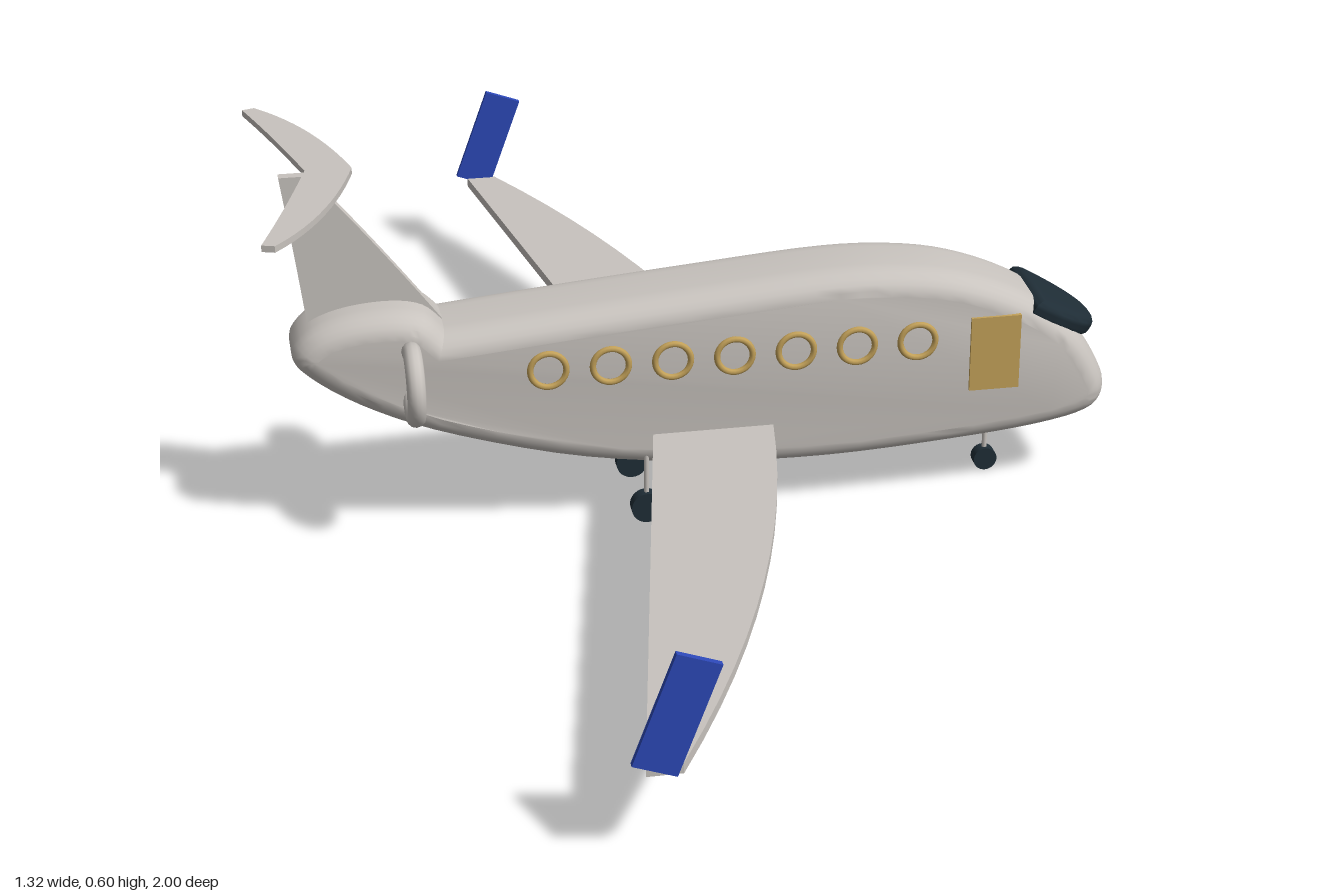
import * as THREE from 'three';
import { toCreasedNormals } from 'three/addons/utils/BufferGeometryUtils.js';

const mat = (name, color, side = THREE.FrontSide) => {
  const m = new THREE.MeshStandardMaterial({ color, side });
  m.name = name;
  return m;
};

export function createModel() {
  const group = new THREE.Group();
  const grey = mat('warm grey', 0xc8c3be);
  const blue = mat('winglet blue', 0x2c48b8);
  const gold = mat('gold', 0xc4a25a);
  const dark = mat('dark slate', 0x1f2d36);
  const teal = mat('teal', 0x4cc4c4);

  const add = (name, geo, material, x = 0, y = 0, z = 0, parent = group) => {
    const mesh = new THREE.Mesh(geo, material);
    mesh.name = name;
    mesh.position.set(x, y, z);
    parent.add(mesh);
    return mesh;
  };
  const v = (pts) => pts.map(([x, y]) => new THREE.Vector2(x, y));
  const extrude = (shape, opts) =>
    toCreasedNormals(new THREE.ExtrudeGeometry(shape, { bevelEnabled: false, curveSegments: 12, ...opts }), 0.6);

  // Fuselage: side profile extruded across z with soft rounded edges
  const profile = new THREE.Shape();
  profile.moveTo(-0.39, 0.345);
  profile.splineThru(v([[-0.2, 0.363], [0.0, 0.38], [0.2, 0.395], [0.32, 0.392], [0.42, 0.374], [0.52, 0.333],
    [0.6, 0.275], [0.645, 0.21], [0.66, 0.16], [0.635, 0.122], [0.55, 0.1], [0.4, 0.085], [0.2, 0.075],
    [0, 0.083], [-0.2, 0.113], [-0.4, 0.172], [-0.52, 0.225], [-0.6, 0.28], [-0.622, 0.318], [-0.595, 0.355],
    [-0.54, 0.376], [-0.47, 0.382], [-0.42, 0.372], [-0.39, 0.345]]));
  const body = new THREE.ExtrudeGeometry(profile, {
    depth: 0.066, curveSegments: 4, bevelEnabled: true, bevelThickness: 0.05,
    bevelSize: 0.035, bevelOffset: -0.035, bevelSegments: 6,
  });
  body.translate(0, 0, -0.033);
  // Narrow the tail a little
  const p = body.attributes.position;
  for (let i = 0; i < p.count; i++) {
    const t = THREE.MathUtils.clamp((-0.39 - p.getX(i)) / 0.23, 0, 1);
    p.setZ(i, p.getZ(i) * (1 - 0.15 * t));
  }
  add('fuselage', toCreasedNormals(body, 0.6), grey);

  // Cockpit glass: rounded D-shaped slab lying on the nose slope
  const glass = new THREE.Shape();
  glass.moveTo(0, -0.076);
  glass.bezierCurveTo(0.08, -0.076, 0.13, -0.05, 0.13, 0);
  glass.bezierCurveTo(0.13, 0.05, 0.08, 0.076, 0, 0.076);
  glass.closePath();
  const glassGeo = extrude(glass, {
    depth: 0.008, bevelEnabled: true, bevelThickness: 0.015, bevelSize: 0.02, bevelOffset: -0.02, bevelSegments: 4,
  });
  glassGeo.translate(0, 0, -0.004).rotateX(-Math.PI / 2);
  add('cockpitWindow', glassGeo, dark, 0.532, 0.313, 0).rotation.z = -0.52;

  // Flat plates drawn in plan (shape y becomes -z)
  const plate = (shape, thickness) => {
    const g = extrude(shape, { depth: thickness });
    g.rotateX(-Math.PI / 2);
    return g;
  };

  // Wing: both halves in one swept plate
  const wing = new THREE.Shape();
  wing.moveTo(0.12, 0);
  wing.lineTo(0.115, 0.085);
  wing.quadraticCurveTo(0.05, 0.56, -0.19, 0.993);
  wing.lineTo(-0.24, 0.993);
  wing.lineTo(-0.06, 0);
  wing.lineTo(-0.24, -0.993);
  wing.lineTo(-0.19, -0.993);
  wing.quadraticCurveTo(0.05, -0.56, 0.115, -0.085);
  wing.closePath();
  add('wing', plate(wing, 0.016), grey, 0, 0.138, 0);

  // Tail fin
  const fin = new THREE.Shape();
  fin.moveTo(-0.592, 0.33);
  fin.quadraticCurveTo(-0.605, 0.45, -0.625, 0.595);
  fin.lineTo(-0.582, 0.595);
  fin.quadraticCurveTo(-0.5, 0.5, -0.385, 0.34);
  fin.closePath();
  add('tailFin', extrude(fin, { depth: 0.016 }), grey, 0, 0, -0.008);

  // Tailplane: swept back crescent on top of the fin
  const tail = new THREE.Shape();
  tail.moveTo(-0.515, 0);
  tail.bezierCurveTo(-0.54, 0.1, -0.58, 0.2, -0.645, 0.27);
  tail.lineTo(-0.664, 0.264);
  tail.quadraticCurveTo(-0.625, 0.15, -0.585, 0);
  tail.quadraticCurveTo(-0.625, -0.15, -0.664, -0.264);
  tail.lineTo(-0.645, -0.27);
  tail.bezierCurveTo(-0.58, -0.2, -0.54, -0.1, -0.515, 0);
  add('tailplane', plate(tail, 0.01), grey, 0, 0.591, 0);

  // Parts mirrored on both sides
  const wingletGeo = new THREE.BoxGeometry(0.064, 0.172, 0.009);
  const ringGeo = new THREE.TorusGeometry(0.051, 0.0145, 12, 32).rotateY(Math.PI / 2);
  const fanGeo = new THREE.CylinderGeometry(0.045, 0.045, 0.008, 32).rotateZ(Math.PI / 2);
  const windowGeo = new THREE.TorusGeometry(0.028, 0.005, 8, 28);
  const wheel = (r) => new THREE.CylinderGeometry(r, r, 0.02, 24).rotateX(Math.PI / 2);
  for (const s of [1, -1]) {
    add('winglet', wingletGeo, blue, -0.2, 0.23, s * 0.9955).rotation.z = -0.35;
    add('engineRing', ringGeo, grey, -0.445, 0.285, s * 0.106);
    add('engineFan', fanGeo, teal, -0.445, 0.285, s * 0.106);
    for (let i = 0; i < 7; i++) {
      add('windowFrame', windowGeo, gold, -0.237 + i * 0.0967, 0.28, s * 0.084);
    }
    add('mainWheel', wheel(0.025), dark, -0.085, 0.027, s * 0.076);
    add('mainStrut', new THREE.CylinderGeometry(0.004, 0.004, 0.12, 10), grey, -0.085, 0.09, s * 0.076);
  }

  // Nose gear
  add('noseWheel', wheel(0.019), dark, 0.482, 0.021, 0);
  add('noseStrut', new THREE.CylinderGeometry(0.004, 0.004, 0.08, 10), grey, 0.482, 0.065, 0);

  // Cabin door, left side only
  add('door', new THREE.BoxGeometry(0.08, 0.125, 0.009), gold, 0.468, 0.25, 0.083);

  return group;
}
